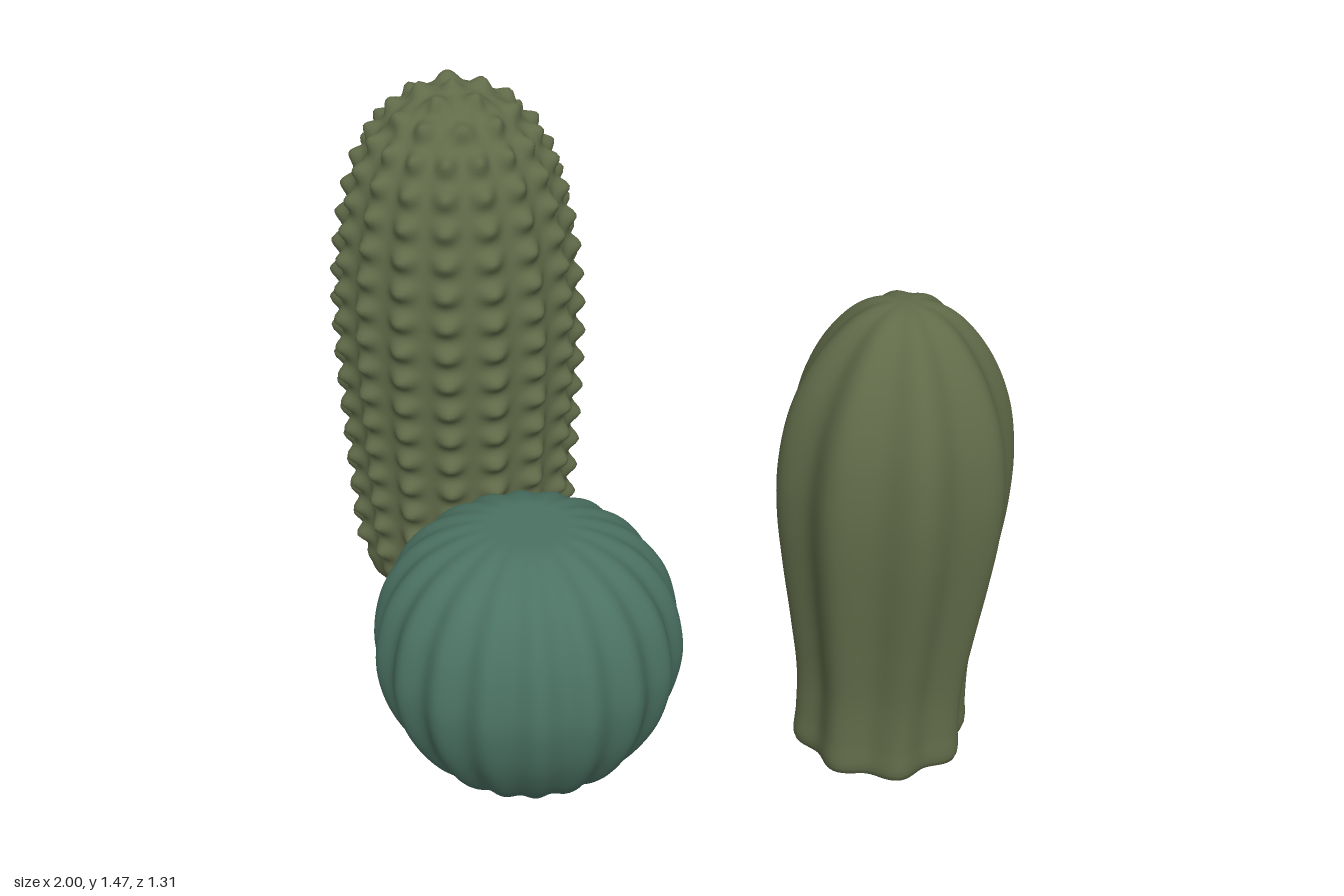
import * as THREE from 'three';
import { toCreasedNormals } from 'three/addons/utils/BufferGeometryUtils.js';

const olive = new THREE.MeshStandardMaterial({ color: 0x616b49 });
olive.name = 'olive green';
const teal = new THREE.MeshStandardMaterial({ color: 0x4b7263 });
teal.name = 'blue green';

const wave = (a) => 0.5 + 0.5 * Math.cos(a);

// Sweeps a profile of [radius, height] points around y. Ribs cut the radius
// by a ratio; knob(s, angle) pushes the skin outward, s = distance from the tip.
function cactusBody({ profile, ribs, depth, phase = 0, hole, rows, cols, knob }) {
  const curve = new THREE.CatmullRomCurve3(
    profile.map(([r, y]) => new THREE.Vector3(r, y, 0)), false, 'centripetal');
  curve.arcLengthDivisions = 800;
  const length = curve.getLength();
  const positions = [];
  const index = [];
  for (let i = 0; i <= rows; i++) {
    const u = i / rows;
    const p = curve.getPointAt(u);
    const t = curve.getTangentAt(u);
    const under = u < 0.3 ? THREE.MathUtils.smoothstep(p.x, hole, hole + 0.1) : 1;
    for (let j = 0; j < cols; j++) {
      const a = (j / cols) * Math.PI * 2;
      const crest = wave(ribs * (a - phase));
      const bump = knob ? knob((1 - u) * length, a - phase, p) : 0;
      const r = Math.max(0, p.x * (1 - depth * under * (1 - crest)) + t.y * bump);
      const y = Math.max(0, p.y - t.x * bump);
      positions.push(r * Math.sin(a), y, r * Math.cos(a));
      if (i < rows) {
        const k = (j + 1) % cols;
        const [b, c] = [i * cols, (i + 1) * cols];
        index.push(b + j, b + k, c + k, b + j, c + k, c + j);
      }
    }
  }
  const g = new THREE.BufferGeometry();
  g.setAttribute('position', new THREE.Float32BufferAttribute(positions, 3));
  g.setIndex(index);
  g.computeVertexNormals();
  return g;
}

// Round recess in the underside
function recess(radius, depth) {
  const pts = [[0, depth], [radius, depth], [radius, 0]].map(([x, y]) => new THREE.Vector2(x, y));
  return toCreasedNormals(new THREE.LatheGeometry(pts, 40), 0.6);
}

function cactus(name, material, x, z, options) {
  const group = new THREE.Group();
  group.name = name;
  group.position.set(x, 0, z);
  const body = new THREE.Mesh(cactusBody(options), material);
  body.name = name + 'Body';
  const well = new THREE.Mesh(recess(options.hole, 0.12), material);
  well.name = name + 'BaseRecess';
  group.add(body, well);
  return group;
}

// Knobs in rows along each rib, fewer per row close to the tip
const SPACING = 0.085;
function knobs(s, angle, p) {
  if (p.y < 0.04) return 0;
  const row = Math.round(s / SPACING);
  const count = [0, 5, 10][row] ?? 16;
  const across = count ? wave(count * angle) : 1;
  const along = wave((s / SPACING) * Math.PI * 2);
  const fade = THREE.MathUtils.smoothstep(p.y, 0.04, 0.15);
  return 0.027 * fade * Math.pow(across * along, 1.3);
}

export function createModel() {
  const model = new THREE.Group();
  model.name = 'cactusTrio';

  // Tall knobbly cactus, back right
  model.add(cactus('tallCactus', olive, -0.66, -0.31, {
    profile: [[0.09, 0], [0.17, 0], [0.235, 0.003], [0.258, 0.025], [0.275, 0.1], [0.287, 0.25],
      [0.3, 0.45], [0.314, 0.7], [0.315, 0.85], [0.305, 1.0], [0.284, 1.13], [0.25, 1.25],
      [0.2, 1.34], [0.13, 1.41], [0.06, 1.442], [0, 1.447]],
    ribs: 16, depth: 0.035, phase: Math.PI / 16, hole: 0.09, rows: 190, cols: 160, knob: knobs,
  }));

  // Low round cactus with a flattened top, front centre
  model.add(cactus('roundCactus', teal, 0.02, 0.28, {
    profile: [[0.095, 0], [0.15, 0], [0.205, 0.004], [0.25, 0.035], [0.305, 0.1], [0.36, 0.2],
      [0.387, 0.31], [0.385, 0.39], [0.36, 0.49], [0.32, 0.56], [0.27, 0.613], [0.2, 0.655],
      [0.13, 0.678], [0.07, 0.681], [0, 0.681]],
    ribs: 18, depth: 0.055, phase: 0.03, hole: 0.095, rows: 70, cols: 216,
  }));

  // Club-shaped cactus with eight deep ribs, back left
  model.add(cactus('ribbedCactus', olive, 0.705, -0.31, {
    profile: [[0.085, 0], [0.15, 0], [0.212, 0.004], [0.224, 0.025], [0.221, 0.1], [0.223, 0.22],
      [0.245, 0.38], [0.272, 0.55], [0.291, 0.7], [0.294, 0.83], [0.275, 0.97], [0.235, 1.08],
      [0.18, 1.17], [0.12, 1.232], [0.06, 1.262], [0, 1.27]],
    ribs: 8, depth: 0.12, hole: 0.085, rows: 90, cols: 128,
  }));

  return model;
}
